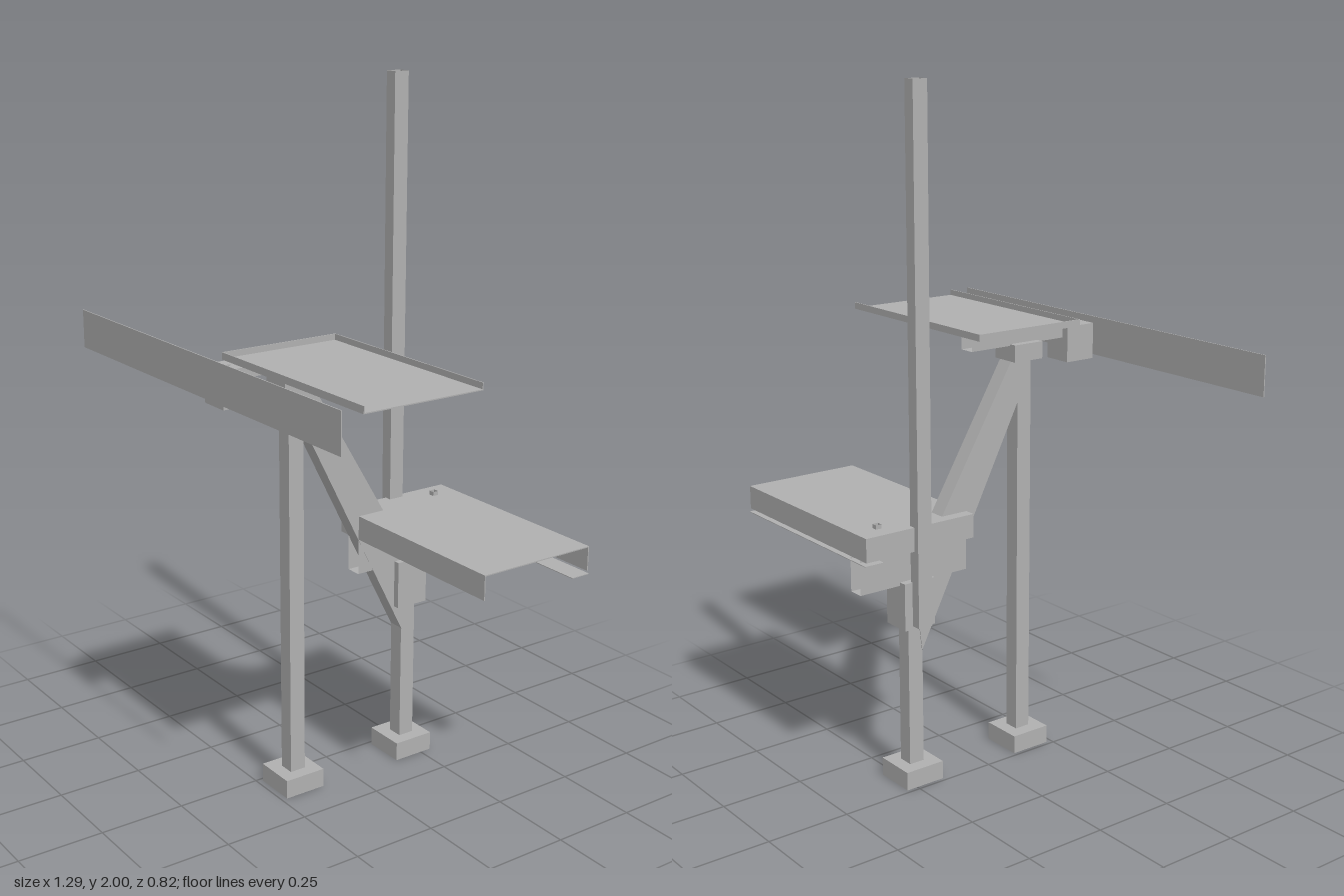
import * as THREE from 'three';

export function createModel() {
  const group = new THREE.Group();
  const grey = new THREE.MeshStandardMaterial({ color: 0xb0b0b0, side: THREE.DoubleSide });
  grey.name = 'grey metal';

  function add(name, geometry) {
    const mesh = new THREE.Mesh(geometry, grey);
    mesh.name = name;
    group.add(mesh);
    return mesh;
  }

  // Solid block given by its limits on each axis
  function block(name, [x0, x1], [y0, y1], [z0, z1]) {
    add(name, new THREE.BoxGeometry(x1 - x0, y1 - y0, z1 - z0))
      .position.set((x0 + x1) / 2, (y0 + y1) / 2, (z0 + z1) / 2);
  }

  // Open-ended square tube running along y or z
  function tube(name, [x0, x1], [y0, y1], [z0, z1], axis) {
    let g = new THREE.CylinderGeometry(Math.SQRT1_2, Math.SQRT1_2, 1, 4, 1, true).rotateY(Math.PI / 4);
    if (axis === 'z') g.rotateX(Math.PI / 2);
    g.scale(x1 - x0, y1 - y0, z1 - z0);
    g = g.toNonIndexed();
    g.computeVertexNormals();
    add(name, g).position.set((x0 + x1) / 2, (y0 + y1) / 2, (z0 + z1) / 2);
  }

  // Sheet with walls on the front, the back and the closed -x end; the +x end is open
  function tray(name, [x0, x1], [y0, y1], [z0, z1], sheetOnTop) {
    const t = 0.003;
    block(name + 'Sheet', [x0, x1], sheetOnTop ? [y1 - t, y1] : [y0, y0 + t], [z0, z1]);
    block(name + 'FrontWall', [x0, x1], [y0, y1], [z1 - t, z1]);
    block(name + 'BackWall', [x0, x1], [y0, y1], [z0, z0 + t]);
    block(name + 'EndWall', [x0, x0 + t], [y0, y1], [z0, z1]);
  }

  const wide = [0.03, 0.12], narrow = [0.053, 0.1], span = [0.017, 0.645];

  // Feet and legs
  for (const [name, z, top] of [['front', 0.17, 1.2], ['rear', -0.222, 0.62]]) {
    block(name + 'Foot', [0.012, 0.138], [0, 0.055], [z - 0.063, z + 0.063]);
    tube(name + 'Leg', narrow, [0.05, top], [z - 0.024, z + 0.024], 'y');
  }

  // Tall mast beside the rear leg
  tube('mast', [0, 0.037], [0.49, 2], [-0.246, -0.2], 'y');

  // Tapered diagonal brace, drawn in z and y, then turned so its thickness runs along x
  const side = new THREE.Shape([
    [0.146, 1.2], [0.12, 1.2], [-0.225, 0.62], [-0.2, 0.4], [0.146, 1.08],
  ].map(([z, y]) => new THREE.Vector2(-z, y)));
  add('diagonalBrace', new THREE.ExtrudeGeometry(side, { depth: 0.05, bevelEnabled: false })
    .rotateY(Math.PI / 2)).position.x = 0.051;

  // Upper tray with its support and brackets
  tray('upperTray', span, [1.28, 1.3], [-0.018, 0.348], false);
  tube('upperSupport', narrow, [1.245, 1.28], [-0.018, 0.348], 'z');
  block('legCap', wide, [1.2, 1.25], [0.118, 0.218]);
  block('boardBracket', wide, [1.175, 1.28], [0.312, 0.41]);
  block('boardBolt', [0.068, 0.084], [1.28, 1.284], [0.364, 0.38]);

  // Long thin board across the front
  block('frontBoard', [-0.65, 0.645], [1.187, 1.3], [0.41, 0.413]);

  // Lower shelf: a downward-facing tray on an open-ended support
  tray('lowerShelf', span, [0.715, 0.785], [-0.406, -0.041], true);
  block('lowerShelfFlange', span, [0.704, 0.706], [-0.41, -0.35]);
  tube('lowerSupport', narrow, [0.61, 0.712], [-0.404, -0.041], 'z');
  tube('shelfBolt', [0.068, 0.086], [0.7, 0.797], [-0.339, -0.321], 'y');
  block('rearLegBracket', wide, [0.48, 0.62], [-0.272, -0.17]);

  return group;
}
